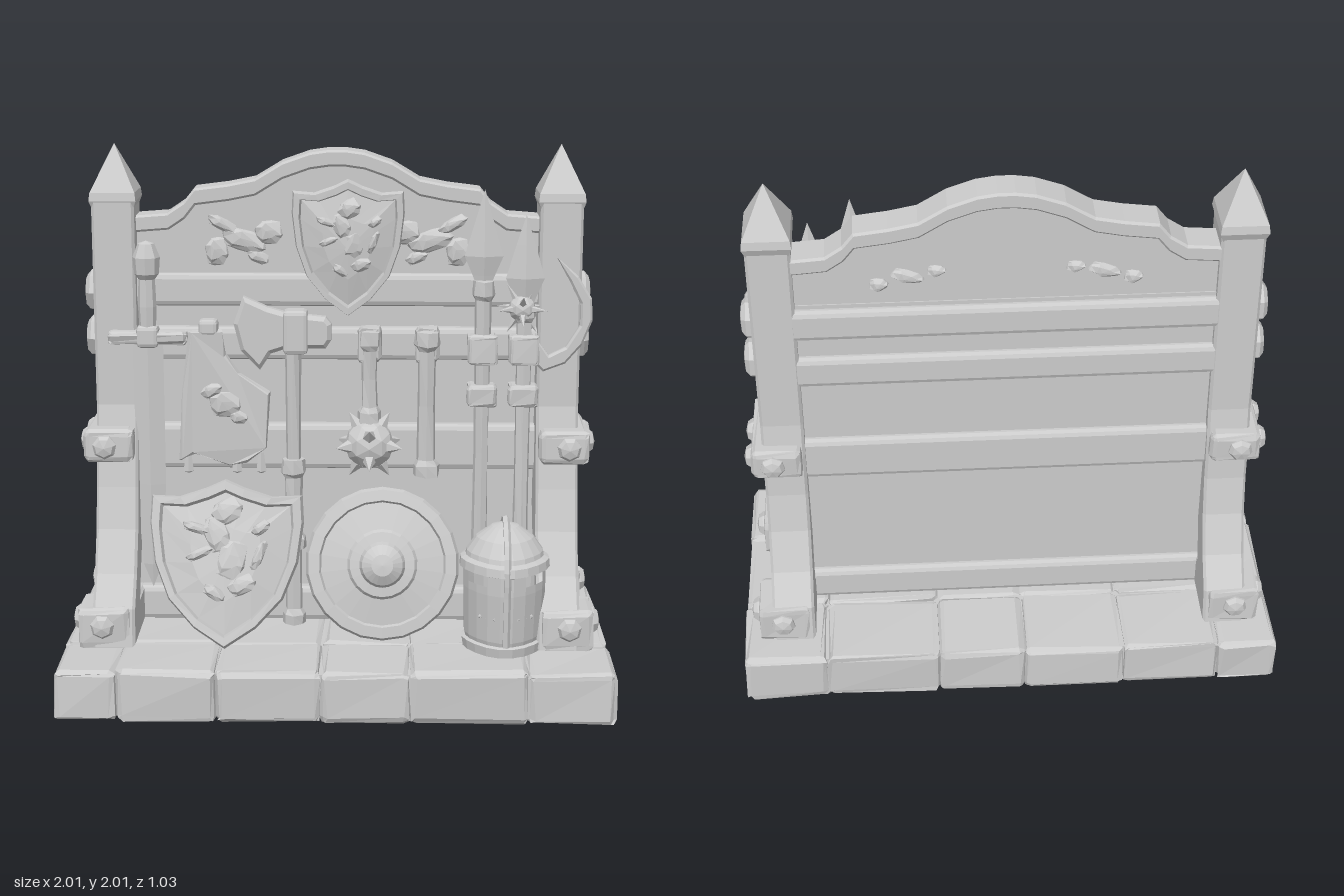
import * as THREE from 'three';
import { RoundedBoxGeometry } from 'three/addons/geometries/RoundedBoxGeometry.js';

const V2 = (p) => new THREE.Vector2(p[0], p[1]);
const mat = new THREE.MeshStandardMaterial({ color: 0xcccccc, flatShading: true });
const thinMat = new THREE.MeshStandardMaterial({ color: 0xcccccc, flatShading: true, side: THREE.DoubleSide });

// Hash of a position, used for a hand-chipped look
const hash = (x, y, z) => {
  const s = Math.sin(Math.round(x * 500) * 12.99 + Math.round(y * 500) * 78.23 + Math.round(z * 500) * 37.72) * 43758.5;
  return s - Math.floor(s) - 0.5;
};
function chip(geo, amount) {
  const p = geo.attributes.position;
  for (let i = 0; i < p.count; i++) {
    const [x, y, z] = [p.getX(i), p.getY(i), p.getZ(i)];
    p.setXYZ(i, x + hash(x, y, z) * amount, y + hash(y, z, x) * amount, z + hash(z, x, y) * amount);
  }
  geo.computeVertexNormals();
  return geo;
}
const box = (w, h, d, r = 0.015) => new RoundedBoxGeometry(w, h, d, 1, r);
const lathe = (pts, n) => new THREE.LatheGeometry(pts.map(V2), n);

// Skin between equal-length rings of points; skip(i, j) leaves a gap
function loft(rings, skip = () => false) {
  const pos = [], n = rings[0].length;
  for (let i = 0; i < rings.length - 1; i++) for (let j = 0; j < n; j++) {
    if (skip(i, j)) continue;
    const k = (j + 1) % n, a = rings[i][j], b = rings[i][k], c = rings[i + 1][k], d = rings[i + 1][j];
    pos.push(...a, ...b, ...c, ...a, ...c, ...d);
  }
  const g = new THREE.BufferGeometry();
  g.setAttribute('position', new THREE.Float32BufferAttribute(pos, 3));
  g.computeVertexNormals();
  return g;
}
function plate(pts, depth, bevel = 0.008, holes = []) {
  const s = new THREE.Shape(pts.map(V2));
  holes.forEach((h) => s.holes.push(new THREE.Path(h.map(V2))));
  const g = new THREE.ExtrudeGeometry(s, {
    depth: depth - 2 * bevel, bevelEnabled: true, bevelSize: bevel, bevelOffset: -bevel, bevelThickness: bevel, bevelSegments: 1, curveSegments: 8,
  });
  return g.translate(0, 0, -(depth / 2 - bevel));
}
const mirror = (half) => [...half, ...half.slice().reverse().map(([x, y]) => [-x, y])];

// Heater shield with raised rim and a curved face
function heater(w, h, depth, bend) {
  const half = [[0, -1], [0.4, -0.76], [0.74, -0.42], [0.93, 0.02], [1, 0.5], [0.98, 0.82], [0.6, 0.8], [0.25, 0.9]];
  const outline = [...half, [0, 1], ...half.slice(1).reverse().map(([x, y]) => [-x, y])];
  const ring = (s, z) => outline.map(([x, y]) => [x * s * w, y * s * h, z - bend * x * x * s * s]);
  return loft([ring(0, 0), ring(0.6, 0), ring(0.97, 0), ring(1, depth * 0.4), ring(0.97, depth * 0.75), ring(0.87, depth * 0.75),
    ring(0.84, depth * 0.45), ring(0.45, depth * 0.65), ring(0, depth * 0.75)]);
}

export function createModel() {
  const root = new THREE.Group();
  root.name = 'weaponRack';
  const add = (name, geo, x = 0, y = 0, z = 0, parent = root, material = mat) => {
    const m = new THREE.Mesh(geo, material);
    m.name = name;
    m.position.set(x, y, z);
    parent.add(m);
    return m;
  };
  const group = (name, x, y, z, parent = root) => {
    const g = new THREE.Group();
    g.name = name;
    g.position.set(x, y, z);
    parent.add(g);
    return g;
  };

  // Stone plinth
  const xs = [-1, -0.78, -0.42, -0.05, 0.27, 0.69, 1], zs = [-0.51, -0.2, 0.2, 0.51];
  add('plinthCore', new THREE.BoxGeometry(1.95, 0.16, 0.97), 0, 0.095, 0);
  for (let i = 0; i < 6; i++) for (let j = 0; j < 3; j++) {
    const w = xs[i + 1] - xs[i], d = zs[j + 1] - zs[j], h = 0.19 + hash(i, j, 3) * 0.012;
    add('plinthStone', chip(box(w, h, d, 0.02), 0.014), xs[i] + w / 2, h / 2, zs[j] + d / 2);
  }

  // Posts with split, curved feet, iron collars and bolts
  const legs = [[-0.4, 0.2], [0.29, 0.2], [0.27, 0.34], [0.19, 0.45], [0.12, 0.6], [0.08, 0.75], [0.05, 0.92], [0.02, 1.05], [0.02, 1.8],
    [-0.17, 1.8], [-0.18, 1.05], [-0.2, 0.92], [-0.21, 0.75], [-0.24, 0.6], [-0.3, 0.45], [-0.38, 0.34]];
  const arch = [[0.1, 0.33], [-0.19, 0.33], [-0.16, 0.44], [-0.11, 0.56], [-0.07, 0.64], [-0.02, 0.55], [0.05, 0.43]];
  const bolt = (x, y, z, r, axis) => {
    const b = add('bolt', lathe([[0, -0.03], [r, -0.03], [r, 0.006], [r * 0.75, 0.022], [0, 0.03]], 7), x, y, z);
    b.rotation[axis === 'x' ? 'z' : 'x'] = axis === 'x' ? -Math.sign(x) * Math.PI / 2 : Math.PI / 2 * (z > -0.08 ? 1 : -1);
  };
  for (const s of [-1, 1]) {
    add('post', plate(legs, 0.155, 0.01, [arch]).rotateY(-Math.PI / 2), s * 0.81, 0, 0);
    const tip = add('postSpike', lathe([[0, -0.04], [0.1, -0.04], [0.12, 0], [0.115, 0.03], [0, 0.2]], 4).rotateY(Math.PI / 4), s * 0.81, 1.8, -0.08);
    tip.scale.z = 1.2;
    add('postCollar', chip(box(0.185, 0.12, 0.35, 0.02), 0.008), s * 0.835, 0.91, -0.065);
    for (const z of [0.19, -0.3]) {
      add('footCollar', chip(box(0.19, 0.15, 0.2, 0.02), 0.01), s * 0.845, 0.27, z);
      bolt(s * 0.94, 0.28, z - 0.01, 0.048, 'x');
    }
    for (const z of [-0.02, -0.17]) bolt(s * 0.925, 0.91, z, 0.045, 'x');
    for (const z of [0.11, -0.24]) bolt(s * 0.85, 0.91, z, 0.045, 'z');
    for (const z of [0.29, -0.4]) bolt(s * 0.85, 0.28, z, 0.045, 'z');
    for (const y of [1.29, 1.46]) bolt(s * 0.9, y, -0.08, 0.077, 'x');
  }

  // Back panel and rails
  add('backPanel', new THREE.BoxGeometry(1.52, 1.35, 0.07), 0, 0.87, -0.11);
  for (const [y, h] of [[0.265, 0.13], [0.88, 0.17], [1.27, 0.12], [1.47, 0.12]])
    add('rail', box(1.52, h, 0.15, 0.02), 0, y, -0.1);

  // Curved crest board with an overhanging trim
  const top = [[0.75, 1.74], [0.62, 1.75], [0.56, 1.79], [0.52, 1.84], [0.4, 1.855], [0.3, 1.875], [0.2, 1.935], [0.1, 1.97], [0.03, 1.98]];
  const crest = mirror(top);
  add('crestBoard', plate([[-0.75, 1.5], [0.75, 1.5], ...crest.map(([x, y]) => [x, y - 0.02])], 0.08), 0, 0, -0.1);
  add('crestTrim', plate([...crest, ...crest.map(([x, y]) => [x * 0.99, y - 0.06]).reverse()], 0.13), 0, 0, -0.1);

  // Chunky carved relief from flattened blobs: [x, y, halfWidth, halfHeight, turn]
  const relief = (parent, blobs, k, z) => {
    for (const [x, y, w, h, r = 0] of blobs) {
      const m = add('carvedRelief', chip(new THREE.IcosahedronGeometry(1, 1), 0.35), x * k, y * k, z, parent);
      m.scale.set(w * k, h * k, 0.03);
      m.rotation.z = r;
    }
  };
  const beast = [[0.02, 0.62, 0.22, 0.17, 0.5], [-0.1, 0.35, 0.17, 0.26, 0.3], [0.08, 0.05, 0.2, 0.28, -0.3], [-0.34, 0.42, 0.2, 0.07, -0.3],
    [-0.3, 0.12, 0.2, 0.07, 0.4], [0.2, -0.25, 0.2, 0.13, 0.4], [-0.12, -0.34, 0.17, 0.09, -0.6], [0.4, 0.1, 0.07, 0.22, -0.4], [0.42, 0.42, 0.14, 0.08, 0.6]];
  for (const s of [-1, 1]) {
    const g = group('crestCarving', s * 0.34, 1.65, -0.06);
    relief(g, [[-s * 0.09, 0.03, 0.06, 0.05], [0, 0, 0.1, 0.045, s * 0.3], [s * 0.1, -0.04, 0.05, 0.06], [s * 0.08, 0.06, 0.07, 0.025, s * 0.5], [-s * 0.05, -0.06, 0.05, 0.025, s * 0.4]], 1, 0.005);
    relief(g, [[0, 0, 0.07, 0.03, 0.3], [s * 0.1, -0.03, 0.04, 0.03], [-s * 0.1, 0.02, 0.04, 0.025]], 1, -0.075);
  }

  // Shields
  const emblem = group('crestShield', 0.04, 1.63, -0.05);
  add('shieldBody', heater(0.205, 0.25, 0.1, 0.02), 0, 0, 0, emblem);
  relief(emblem, beast, 0.23, 0.055);
  const large = group('largeShield', -0.405, 0.485, 0.17);
  large.rotation.x = -0.32;
  add('shieldBody', heater(0.285, 0.31, 0.09, 0.07), 0, 0, 0, large);
  relief(large, beast, 0.31, 0.055);
  const round = add('roundShield', lathe([[0, -0.02], [0.27, -0.02], [0.285, 0], [0.275, 0.025], [0.235, 0.03], [0.228, 0.015], [0.13, 0.035],
    [0.12, 0.05], [0.085, 0.055], [0.075, 0.08], [0.04, 0.105], [0, 0.11]], 22).rotateX(Math.PI / 2), 0.17, 0.47, 0.11);
  round.rotation.x = -0.24;

  // Helmet with pointed face, open eye slots and a central ridge
  const ringAt = ([y, r, c]) => Array.from({ length: 20 }, (_, j) => {
    const a = ((j - 0.5) / 20) * Math.PI * 2, front = Math.max(0, Math.cos(a));
    return [Math.sin(a) * r, y, c + Math.cos(a) * r * 0.9 + front ** 4 * r * 0.22];
  });
  const helm = group('helmet', 0.615, 0.19, 0.2);
  add('helmetShell', loft([[0, 0.13, 0], [0.06, 0.145, 0], [0.24, 0.15, 0.01], [0.27, 0.15, 0.01], [0.31, 0.15, 0.01], [0.37, 0.14, 0], [0.42, 0.105, 0], [0.46, 0.05, 0], [0.475, 0, 0]].map(ringAt),
    (i, j) => i === 3 && [2, 3, 17, 18].includes(j)), 0, 0, 0, helm, thinMat);
  add('browBand', loft([[0.31, 0.152, 0.01], [0.315, 0.165, 0.01], [0.345, 0.162, 0.008], [0.355, 0.14, 0]].map(ringAt)), 0, 0, 0, helm);
  add('chinBand', loft([[0, 0.13, 0], [0.005, 0.15, 0], [0.04, 0.155, 0], [0.045, 0.14, 0]].map(ringAt)), 0, 0, 0, helm);
  const ridge = [[0.05, 0.17], [0.24, 0.178], [0.34, 0.18], [0.43, 0.13], [0.49, 0.03], [0.43, -0.1]].map(([y, z]) => new THREE.Vector3(0, y, z));
  add('helmetRidge', new THREE.TubeGeometry(new THREE.CatmullRomCurve3(ridge), 14, 0.014, 5), 0, 0, 0, helm);
  for (const s of [-1, 1]) for (let i = 0; i < 3; i++)
    add('breathingRivet', new THREE.IcosahedronGeometry(0.01, 0), s * (0.04 + i * 0.025), 0.15, 0.15 - i * 0.017, helm);

  // Sword
  const sword = group('sword', -0.69, 0, 0.03);
  add('blade', lathe([[0, 0.35], [0.035, 0.44], [0.055, 0.75], [0.055, 1.3]], 4).scale(1, 1, 0.35), 0, 0, 0, sword);
  add('crossguard', chip(box(0.29, 0.05, 0.06), 0.01), 0, 1.305, 0, sword);
  add('guardBlock', box(0.08, 0.08, 0.075), 0, 1.31, 0, sword);
  add('grip', lathe([[0.03, 1.33], [0.034, 1.42], [0.03, 1.52], [0.045, 1.54], [0.05, 1.6], [0.03, 1.65], [0, 1.66]], 8), 0, 0, 0, sword);

  // Hanging banner
  add('banner', chip(plate([[-0.54, 1.33], [-0.57, 1.1], [-0.58, 0.84], [-0.53, 0.87], [-0.48, 0.85], [-0.4, 0.82], [-0.33, 0.84], [-0.26, 0.89],
    [-0.25, 1.1], [-0.36, 1.17], [-0.41, 1.24], [-0.42, 1.33]], 0.04), 0.012), 0, 0, 0.02);
  relief(group('bannerCarving', -0.41, 1.06, 0.035), [[0, 0, 0.07, 0.06], [-0.05, 0.05, 0.05, 0.03, 0.5], [0.05, -0.05, 0.04, 0.03]], 1, 0);
  for (const x of [-0.55, -0.37, -0.28]) add('bannerTassel', lathe([[0, -0.04], [0.02, -0.03], [0.01, 0.04]], 5), x, 0.83, 0.02);
  add('bannerHook', box(0.07, 0.06, 0.07), -0.47, 1.34, 0.01);

  // Handles: shaft with bulging ends
  const shaft = (name, x, y0, y1, r, z) => add(name, chip(lathe([[0, y0], [r * 1.4, y0 + 0.01], [r * 1.4, y0 + 0.05], [r, y0 + 0.07], [r * 0.9, (y0 + y1) / 2],
    [r, y1 - 0.07], [r * 1.4, y1 - 0.05], [r * 1.3, y1], [0, y1 + 0.005]], 7), 0.006), x, 0, z);

  // Axe
  shaft('axeHandle', -0.16, 0.2, 1.4, 0.03, 0.03);
  shaft('axeGrip', -0.16, 0.5, 0.85, 0.034, 0.03);
  add('axeHead', plate([[-0.34, 1.46], [-0.375, 1.36], [-0.35, 1.26], [-0.28, 1.19], [-0.24, 1.25], [-0.18, 1.27], [-0.04, 1.27], [-0.02, 1.3], [-0.02, 1.36],
    [-0.04, 1.385], [-0.18, 1.4], [-0.25, 1.42]], 0.06, 0.015), 0, 0, 0.035);
  add('axeSocket', box(0.09, 0.16, 0.09), -0.15, 1.33, 0.035);

  // Spiked balls
  const spiked = (name, x, y, z, r, len) => {
    const g = group(name, x, y, z);
    add('ball', new THREE.IcosahedronGeometry(r, 1), 0, 0, 0, g);
    const ico = new THREE.IcosahedronGeometry(1, 0).attributes.position, seen = new Set();
    for (let i = 0; i < ico.count; i++) {
      const d = new THREE.Vector3().fromBufferAttribute(ico, i), key = d.toArray().map((v) => v.toFixed(1)).join();
      if (seen.has(key)) continue;
      seen.add(key);
      const c = add('spike', new THREE.ConeGeometry(r * 0.27, len, 5), 0, 0, 0, g);
      c.position.copy(d).multiplyScalar(r + len * 0.4);
      c.quaternion.setFromUnitVectors(new THREE.Vector3(0, 1, 0), d);
    }
  };
  shaft('maceHandle', 0.12, 0.98, 1.33, 0.03, 0.03);
  spiked('maceHead', 0.12, 0.91, 0.04, 0.092, 0.055);
  shaft('clubHandle', 0.33, 0.78, 1.33, 0.035, 0.03);
  for (const x of [0.12, 0.33]) add('hangingLoop', chip(box(0.08, 0.13, 0.07), 0.01), x, 1.28, 0.01);

  // Polearms
  for (const [x, bottom, neck, tip] of [[0.53, 0.25, 1.52, 1.85], [0.68, 0.25, 1.44, 1.76]]) {
    shaft('polearmShaft', x, bottom, neck, 0.03, 0.05);
    add('polearmHead', lathe([[0.025, neck - 0.02], [0.04, neck + 0.02], [0.07, neck + 0.09], [0.035, neck + 0.21], [0, tip]], 4).scale(1, 1, 0.4), x, 0, 0.05);
    for (const [y, h] of [[1.1, 0.08], [1.27, 0.11]]) add('polearmBracket', chip(box(0.11, h, 0.1), 0.008), x, y, 0.045);
  }
  spiked('polearmStar', 0.67, 1.42, 0.05, 0.05, 0.06);
  add('crescentBlade', plate([[0.79, 1.61], [0.87, 1.54], [0.92, 1.46], [0.925, 1.38], [0.89, 1.29], [0.83, 1.22], [0.75, 1.19], [0.7, 1.24], [0.7, 1.34],
    [0.77, 1.25], [0.83, 1.28], [0.88, 1.36], [0.88, 1.44], [0.84, 1.52]], 0.03), 0, 0, 0.055);
  return root;
}
